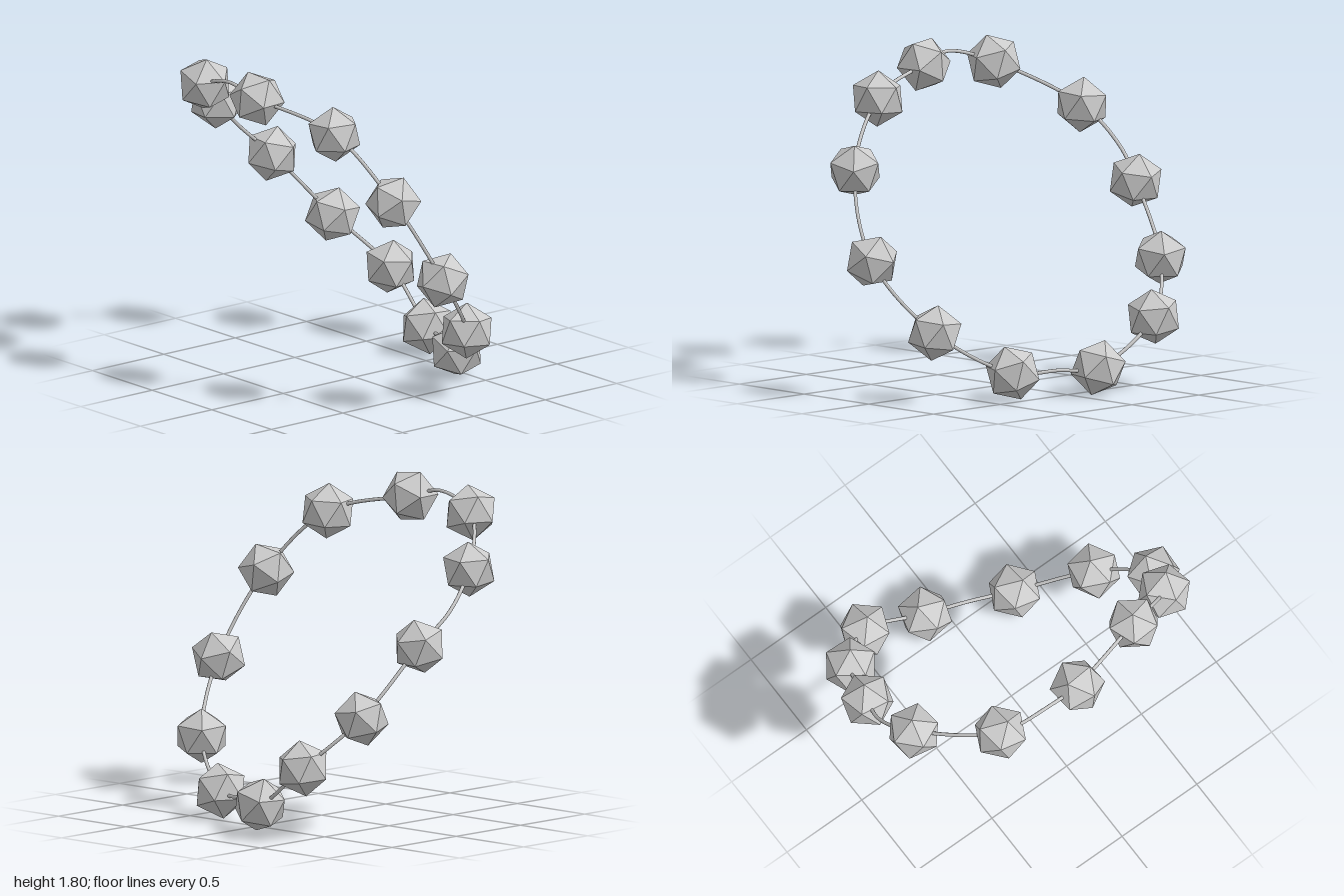
import * as THREE from 'three';

// Bead centres in order round the loop; the optional second point bends the wire after that bead
const BEADS = [
  [[-0.65, 1.66, -0.04]],
  [[-0.51, 1.54, 0.44]],
  [[-0.36, 1.2, 0.755]],
  [[-0.11, 0.745, 0.87]],
  [[0.2, 0.37, 0.7]],
  [[0.43, 0.14, 0.34], [0.53, 0.14, 0.1]],
  [[0.61, 0.14, -0.125]],
  [[0.66, 0.385, -0.49]],
  [[0.46, 0.66, -0.735]],
  [[0.14, 1.03, -0.86], [-0.04, 1.2, -0.91]],
  [[-0.26, 1.4, -0.845]],
  [[-0.61, 1.63, -0.525], [-0.67, 1.71, -0.24]],
];
const BEAD_RADIUS = 0.152;
const WIRE_RADIUS = 0.01;

export function createModel() {
  const group = new THREE.Group();
  group.name = 'beadedLoop';
  const beadMaterial = new THREE.MeshStandardMaterial({ color: 0xcccccc, flatShading: true });
  const wireMaterial = new THREE.MeshStandardMaterial({ color: 0xcccccc });

  // Thin wire threaded through every bead
  const points = BEADS.flat().map((p) => new THREE.Vector3(...p));
  const curve = new THREE.CatmullRomCurve3(points, true, 'centripetal');
  const wire = new THREE.Mesh(new THREE.TubeGeometry(curve, 144, WIRE_RADIUS, 8, true), wireMaterial);
  wire.name = 'wire';
  group.add(wire);

  // Twenty-sided beads, each turned to face along the loop
  const beadGeometry = new THREE.IcosahedronGeometry(BEAD_RADIUS, 0).rotateZ(Math.PI / 2);
  const centres = BEADS.map(([p]) => new THREE.Vector3(...p));
  const count = centres.length;
  centres.forEach((centre, i) => {
    const bead = new THREE.Mesh(beadGeometry, beadMaterial);
    const along = centres[(i + 1) % count].clone().sub(centres[(i + count - 1) % count]);
    bead.position.copy(centre);
    bead.lookAt(centre.clone().add(along));
    bead.name = `bead${i + 1}`;
    group.add(bead);
  });

  // Rest the lowest bead on the ground
  group.updateMatrixWorld(true);
  const lift = new THREE.Box3().setFromObject(group, true).min.y;
  group.children.forEach((part) => { part.position.y -= lift; });
  return group;
}
